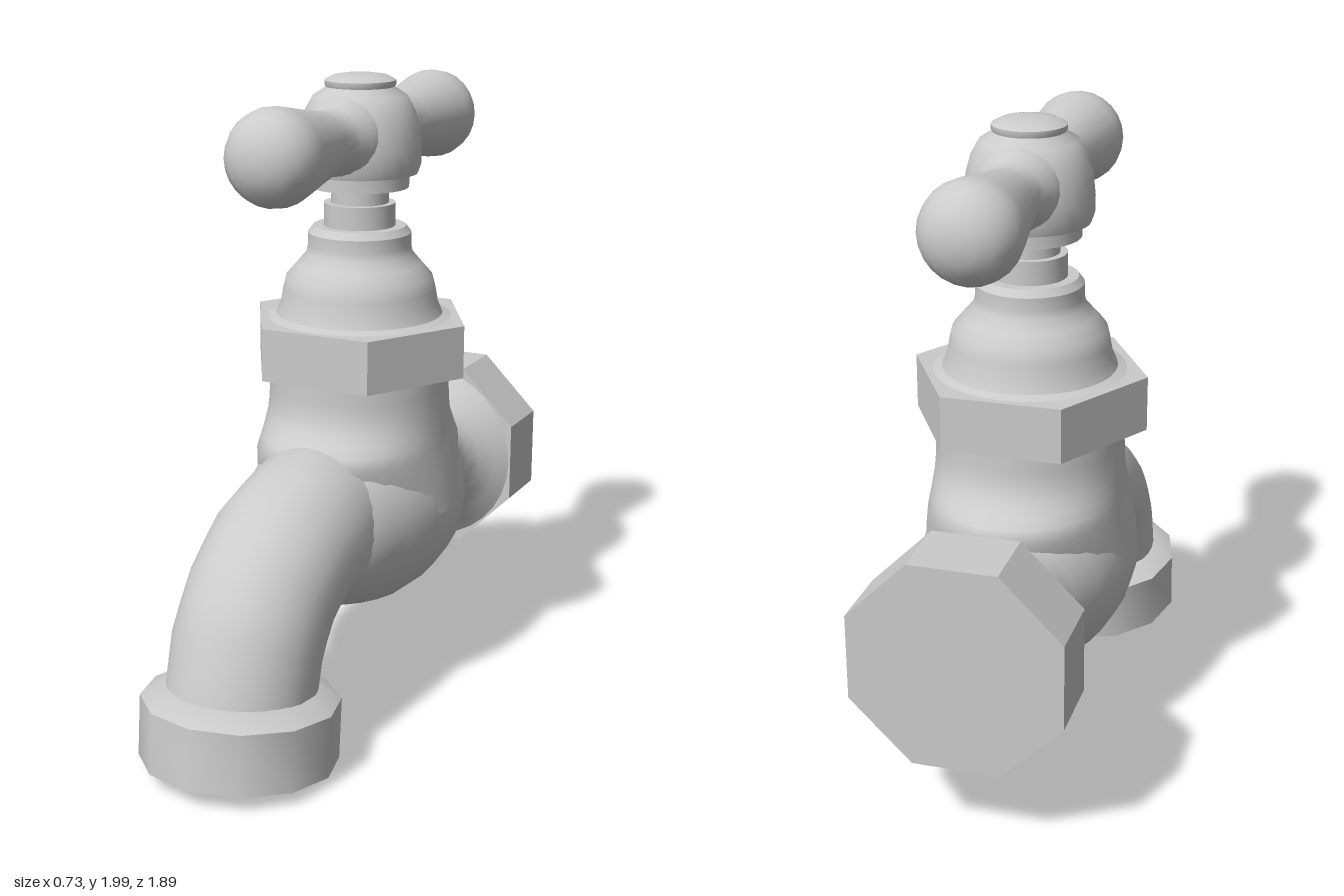
import * as THREE from 'three';
import { toCreasedNormals } from 'three/addons/utils/BufferGeometryUtils.js';

const material = new THREE.MeshStandardMaterial({ color: 0xcccccc });
const STEM_Z = -0.165; // vertical axis of valve and handle
const BODY_Y = 0.6;    // horizontal axis of inlet

function add(parent, name, geometry, x = 0, y = 0, z = 0, mat = material) {
  const mesh = new THREE.Mesh(geometry, mat);
  mesh.name = name;
  mesh.position.set(x, y, z);
  parent.add(mesh);
  return mesh;
}

// Turned part from [radius, height] pairs, bottom to top
function turned(profile, segments = 32, crease = 0.6) {
  const points = profile.map(([r, h]) => new THREE.Vector2(r, h));
  return toCreasedNormals(new THREE.LatheGeometry(points, segments), crease);
}

// Smooth skin over elliptical rings in the y-z plane of symmetry.
// Each ring: [z1, y1, z2, y2, half width in x], the two points being opposite ends.
function loft(rings, segments = 32) {
  const positions = [], index = [];
  for (const [z1, y1, z2, y2, rx] of rings) {
    for (let j = 0; j < segments; j++) {
      const t = (j / segments) * Math.PI * 2, c = Math.cos(t) / 2;
      positions.push(rx * Math.sin(t), (y1 + y2) / 2 + (y2 - y1) * c, (z1 + z2) / 2 + (z2 - z1) * c);
    }
  }
  for (let i = 0; i < rings.length - 1; i++) {
    for (let j = 0; j < segments; j++) {
      const k = (j + 1) % segments, a = i * segments, b = a + segments;
      index.push(a + j, a + k, b + k, a + j, b + k, b + j);
    }
  }
  const geometry = new THREE.BufferGeometry();
  geometry.setAttribute('position', new THREE.Float32BufferAttribute(positions, 3));
  geometry.setIndex(index);
  geometry.computeVertexNormals();
  return geometry;
}

export function createModel() {
  const model = new THREE.Group();
  model.name = 'faucet';

  // Bulbous body with flared inlet neck, turned about the z axis
  add(model, 'body', turned([
    [0.32, -0.73], [0.27, -0.69], [0.232, -0.65], [0.214, -0.61], [0.212, -0.56],
    [0.238, -0.5], [0.285, -0.4], [0.318, -0.3], [0.332, -0.165], [0.324, -0.05],
    [0.298, 0.05], [0.267, 0.14], [0.23, 0.22], [0.18, 0.28],
  ], 32, 0.9).rotateX(Math.PI / 2), 0, BODY_Y, 0);

  // Octagonal inlet fitting
  const inlet = new THREE.CylinderGeometry(0.346, 0.346, 0.22, 8).rotateY(Math.PI / 8).rotateX(Math.PI / 2);
  add(model, 'inletNut', toCreasedNormals(inlet, 0.3), 0, BODY_Y, -0.835);

  // Vertical neck blending into the body: [height, half width x, half depth z]
  const neck = [
    [0.62, 0.338, 0.3], [0.72, 0.325, 0.36], [0.81, 0.308, 0.41], [0.85, 0.302, 0.375],
    [0.88, 0.299, 0.345], [0.91, 0.296, 0.315], [0.95, 0.294, 0.296], [1.0, 0.292, 0.291], [1.07, 0.292, 0.291],
  ].map(([y, rx, rz]) => [STEM_Z - rz, y, STEM_Z + rz, y, rx]);
  add(model, 'neck', loft(neck));

  // Down-curving spout
  add(model, 'spout', loft([
    [-0.02, 0.87, 0.0, 0.4, 0.23], [0.2, 0.875, 0.18, 0.365, 0.235], [0.33, 0.84, 0.23, 0.372, 0.235],
    [0.46, 0.8, 0.275, 0.37, 0.235], [0.565, 0.73, 0.305, 0.358, 0.232], [0.66, 0.66, 0.335, 0.335, 0.23],
    [0.73, 0.57, 0.365, 0.3, 0.23], [0.795, 0.475, 0.385, 0.265, 0.23], [0.852, 0.27, 0.4, 0.22, 0.23],
  ]));

  // Tilted outlet collar with bore
  const collar = add(model, 'outletCollar', turned([
    [0, 0.24], [0.2, 0.22], [0.2, 0], [0.303, 0], [0.303, 0.19], [0.232, 0.23], [0.19, 0.23],
  ], 12), 0, 0.034, 0.648);
  collar.rotation.x = -0.095;

  // Hexagonal bonnet nut
  const nut = new THREE.CylinderGeometry(0.367, 0.367, 0.17, 6).rotateY(Math.PI / 2);
  add(model, 'bonnetNut', toCreasedNormals(nut, 0.3), 0, 1.145, STEM_Z);

  // Bonnet dome
  add(model, 'bonnet', turned([
    [0.31, 1.225], [0.268, 1.24], [0.253, 1.275], [0.245, 1.32], [0.235, 1.36], [0.2, 1.4],
    [0.17, 1.435], [0.165, 1.46], [0.165, 1.5], [0.148, 1.522], [0, 1.522],
  ]), 0, 0, STEM_Z);

  // Stepped valve stem
  add(model, 'stem', turned([
    [0.114, 1.51], [0.114, 1.595], [0.092, 1.595], [0.092, 1.66],
  ]), 0, 0, STEM_Z);

  // Cross handle: hub, cap and two mirrored arms
  const handle = new THREE.Group();
  handle.name = 'handle';
  handle.position.z = STEM_Z;
  model.add(handle);
  add(handle, 'hub', turned([
    [0, 1.645], [0.156, 1.645], [0.156, 1.688], [0.183, 1.69], [0.193, 1.72], [0.194, 1.77],
    [0.188, 1.83], [0.173, 1.885], [0.148, 1.93], [0.11, 1.955], [0.104, 1.965], [0, 1.965],
  ]));
  add(handle, 'hubCap', turned([
    [0.104, 1.95], [0.112, 1.965], [0.112, 1.978], [0.085, 1.992], [0.045, 1.998], [0, 2.0],
  ]));
  const arm = turned([
    [0.135, 0.12], [0.122, 0.165], [0.104, 0.195], [0.096, 0.23], [0.105, 0.3], [0.123, 0.41], [0.143, 0.52],
    [0.147, 0.555], [0.141, 0.595], [0.123, 0.633], [0.095, 0.662], [0.055, 0.682], [0, 0.69],
  ], 24, 0.8).rotateX(Math.PI / 2);
  for (const side of [0, 1]) {
    add(handle, side ? 'backArm' : 'frontArm', arm, 0, 1.81, 0).rotation.y = side * Math.PI;
  }

  return model;
}
